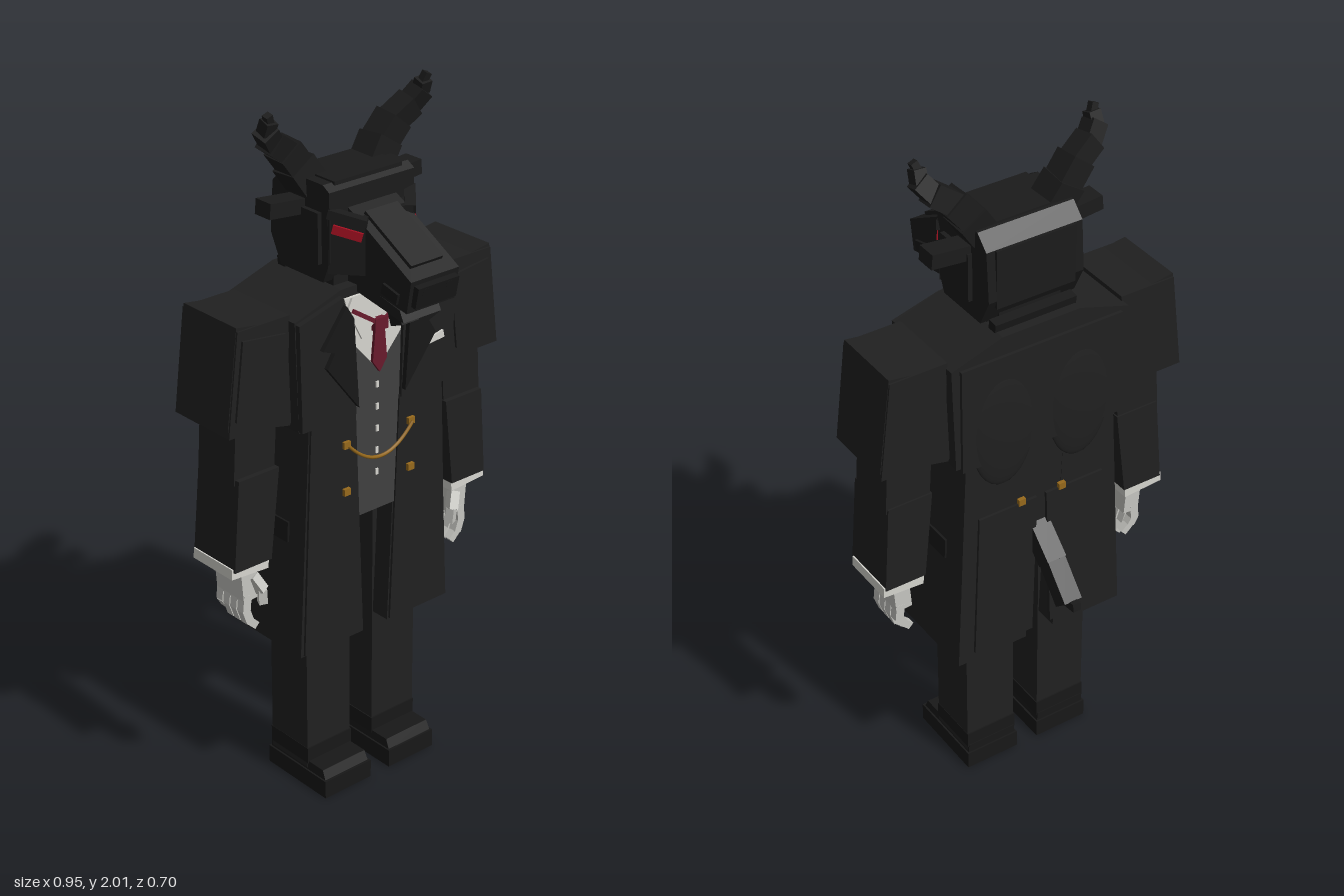
import * as THREE from 'three';

const mat = (name, color) => {
  const m = new THREE.MeshStandardMaterial({ color });
  m.name = name;
  return m;
};

export function createModel() {
  const root = new THREE.Group();
  root.name = 'hornedGentleman';
  const coat = mat('coat black', 0x202020), hide = mat('hide black', 0x1b1b1b), trim = mat('lapel black', 0x181818);
  const vest = mat('waistcoat grey', 0x404040), shirt = mat('shirt white', 0xd6d5cf), bone = mat('glove grey', 0xc6c6c1);
  const tie = mat('tie burgundy', 0x681a2c), red = mat('eye red', 0xa00f20), gold = mat('gold', 0x96691c);

  const add = (name, geo, m) => {
    const mesh = new THREE.Mesh(geo, m);
    mesh.name = name;
    root.add(mesh);
    return mesh;
  };
  // box by size, centre and rotation; s mirrors it across x
  const box = (name, m, [w, h, d], [x, y, z], [rx, ry, rz] = [0, 0, 0], s = 1) => {
    const b = add(name, new THREE.BoxGeometry(w, h, d), m);
    b.position.set(x * s, y, z);
    b.rotation.set(rx, ry * s, rz * s);
    return b;
  };
  // tapered block: bottom and top rectangles are [x0, x1, z0, z1]
  const taper = (name, m, y0, bottom, y1, top, s = 1) => {
    const geo = new THREE.BoxGeometry(1, 1, 1).toNonIndexed();
    const p = geo.attributes.position;
    for (let i = 0; i < p.count; i++) {
      const up = p.getY(i) > 0, r = up ? top : bottom;
      const hi = (p.getX(i) > 0) === (s > 0);
      p.setXYZ(i, s * (hi ? r[1] : r[0]), up ? y1 : y0, p.getZ(i) > 0 ? r[3] : r[2]);
    }
    geo.computeVertexNormals();
    return add(name, geo, m);
  };
  // flat outline in x, y pushed out along z
  const slab = (name, m, pts, z, depth, s = 1) => {
    const shape = new THREE.Shape(pts.map(([x, y]) => new THREE.Vector2(x * s, y)));
    const geo = new THREE.ExtrudeGeometry(shape, { depth, bevelEnabled: false });
    return add(name, geo.translate(0, 0, z), m);
  };
  // side outline in z, y pushed out along x
  const side = (name, m, pts, width, x = 0) => {
    const shape = new THREE.Shape(pts.map(([z, y]) => new THREE.Vector2(z, y)));
    const geo = new THREE.ExtrudeGeometry(shape, { depth: width, bevelEnabled: false });
    return add(name, geo.translate(0, 0, -width / 2).rotateY(-Math.PI / 2).translate(x, 0, 0), m);
  };
  // chain of blocks along points [x, y, z, thickness]
  const chain = (name, m, pts, s = 1) => {
    for (let i = 0; i < pts.length - 1; i++) {
      const a = new THREE.Vector3(pts[i][0] * s, pts[i][1], pts[i][2]);
      const b = new THREE.Vector3(pts[i + 1][0] * s, pts[i + 1][1], pts[i + 1][2]);
      const dir = b.clone().sub(a), t = pts[i][3];
      const link = add(name, new THREE.BoxGeometry(t, dir.length() + t * 0.2, t), m);
      link.position.copy(a).add(b).multiplyScalar(0.5);
      link.quaternion.setFromUnitVectors(new THREE.Vector3(0, 1, 0), dir.normalize());
    }
  };

  // torso and hips
  slab('torso', coat, [[-0.265, 1.16], [0.265, 1.16], [0.275, 1.475], [0.12, 1.525], [-0.12, 1.525], [-0.275, 1.475]], -0.165, 0.275);
  taper('waist', coat, 0.88, [-0.24, 0.24, -0.165, 0.1], 1.17, [-0.235, 0.235, -0.165, 0.1]);
  box('hips', coat, [0.38, 0.14, 0.15], [0, 0.88, -0.02]);
  box('backYoke', coat, [0.5, 0.32, 0.015], [0, 1.31, -0.167]);
  box('collar', trim, [0.25, 0.08, 0.03], [0, 1.51, -0.12], [-0.15, 0, 0]);
  box('neck', hide, [0.19, 0.13, 0.15], [0, 1.51, -0.035]);

  // waistcoat, shirt and tie
  slab('waistcoat', vest, [[-0.075, 0.85], [0.075, 0.85], [0.085, 1.4], [-0.085, 1.4]], 0.08, 0.037);
  slab('shirtFront', shirt, [[-0.115, 1.5], [-0.08, 1.36], [0, 1.27], [0.08, 1.36], [0.115, 1.5]], 0.112, 0.008);
  slab('tieBlade', tie, [[-0.015, 1.405], [-0.025, 1.3], [0, 1.265], [0.025, 1.3], [0.015, 1.405]], 0.12, 0.009);
  box('tieKnot', tie, [0.045, 0.035, 0.022], [0, 1.405, 0.125]);
  for (let i = 0; i < 5; i++) box('waistcoatButton', shirt, [0.009, 0.018, 0.006], [0, 1.225 - i * 0.065, 0.118]);

  // tail
  chain('tail', hide, [[0, 0.86, -0.14, 0.06], [0, 0.78, -0.225, 0.056], [0, 0.69, -0.305, 0.025], [0, 0.695, -0.345, 0.02]]);

  // head and muzzle
  side('cranium', hide, [[0.095, 1.79], [0.07, 1.805], [-0.09, 1.805], [-0.13, 1.765], [-0.14, 1.62], [-0.1, 1.54], [0.07, 1.54], [0.095, 1.6]], 0.29);
  box('crown', hide, [0.23, 0.04, 0.16], [0, 1.79, 0]);
  box('skullBase', hide, [0.23, 0.07, 0.16], [0, 1.53, -0.005]);
  box('backOfHead', hide, [0.24, 0.17, 0.02], [0, 1.68, -0.13]);
  side('muzzle', hide, [[0.08, 1.745], [0.13, 1.72], [0.335, 1.605], [0.32, 1.515], [0.08, 1.56]], 0.165);
  box('nose', trim, [0.14, 0.06, 0.04], [0, 1.563, 0.325], [0.2, 0, 0]);
  box('muzzleRidge', hide, [0.11, 0.012, 0.2], [0, 1.677, 0.215], [0.51, 0, 0]);
  side('lowerJaw', hide, [[0.06, 1.555], [0.275, 1.505], [0.29, 1.475], [0.06, 1.515]], 0.13);
  box('beard', trim, [0.06, 0.055, 0.045], [0, 1.463, 0.215], [-0.35, 0, 0]);

  for (const s of [1, -1]) {
    // face planes, eyes, brows, ears and horns
    box('cheek', hide, [0.1, 0.15, 0.05], [0.094, 1.645, 0.111], [0, 0.855, 0], s);
    box('eye', red, [0.08, 0.024, 0.008], [0.115, 1.685, 0.13], [0, 0.855, 0.25], s);
    box('brow', hide, [0.1, 0.025, 0.03], [0.108, 1.722, 0.12], [0, 0.855, 0.25], s);
    box('templePlate', hide, [0.02, 0.14, 0.13], [0.148, 1.66, 0.0], [0, 0, 0], s);
    box('lip', trim, [0.008, 0.03, 0.06], [0.089, 1.555, 0.265], [0.25, 0, 0], s);
    box('nostril', trim, [0.025, 0.018, 0.006], [0.04, 1.575, 0.345], [0.2, 0, 0], s);
    box('ear', hide, [0.12, 0.042, 0.06], [0.2, 1.735, -0.03], [0, 0, 0.1], s);
    chain('horn', hide, [[0.105, 1.77, -0.035, 0.085], [0.145, 1.83, -0.04, 0.075], [0.185, 1.88, -0.035, 0.062],
      [0.235, 1.915, -0.025, 0.05], [0.262, 1.95, -0.01, 0.035], [0.26, 1.978, 0, 0.02], [0.268, 1.998, 0.005, 0.012]], s);

    // coat front, lapels and shirt collar
    slab('coatFront', coat, [[0.08, 1.165], [0.265, 1.165], [0.272, 1.47], [0.125, 1.51], [0.085, 1.38]], 0.1, 0.026, s);
    slab('lapel', trim, [[0.082, 1.19], [0.19, 1.33], [0.165, 1.37], [0.205, 1.385], [0.125, 1.49], [0.1, 1.45]], 0.122, 0.018, s);
    slab('shirtCollar', shirt, [[0.01, 1.42], [0.06, 1.375], [0.11, 1.47], [0.095, 1.5]], 0.119, 0.008, s);
    chain('tieBand', tie, [[0.01, 1.41, 0.128, 0.012], [0.095, 1.465, 0.128, 0.012]], s);

    // coat skirt with front opening and back vent
    taper('coatSkirt', coat, 0.48, [0.045, 0.27, -0.17, 0.115], 1.17, [0.075, 0.235, -0.165, 0.115], s);
    taper('skirtFrontEdge', coat, 0.485, [0.05, 0.26, 0.1, 0.122], 1.17, [0.078, 0.232, 0.1, 0.122], s);
    taper('backTail', coat, 0.51, [0.03, 0.22, -0.178, -0.165], 0.97, [0.015, 0.2, -0.174, -0.16], s);
    box('pocketFlap', trim, [0.008, 0.06, 0.14], [0.254, 0.84, -0.02], [0, 0, 0.05], s);
    const blade = add('shoulderBladePanel', new THREE.SphereGeometry(1, 24, 16), coat);
    blade.scale.set(0.1, 0.18, 0.014);
    blade.position.set(0.12 * s, 1.24, -0.168);

    // gold buttons, front and back
    for (const y of [1.085, 0.945]) box('coatButton', gold, [0.022, 0.02, 0.012], [0.115, y, 0.126], [0, 0, 0], s);
    box('backButton', gold, [0.022, 0.02, 0.012], [0.065, 0.975, -0.172], [0, 0, 0], s);

    // sleeves
    taper('upperSleeve', coat, 1.2, [0.285, 0.475, -0.14, 0.085], 1.49, [0.27, 0.44, -0.14, 0.085], s);
    slab('sleeveCap', coat, [[0.12, 1.525], [0.27, 1.475], [0.44, 1.5], [0.475, 1.22], [0.27, 1.175]], -0.135, 0.215, s);
    box('sleevePanel', coat, [0.14, 0.22, 0.012], [0.372, 1.345, 0.086], [0, 0, 0.12], s);
    box('elbow', coat, [0.135, 0.16, 0.15], [0.368, 1.12, -0.02], [0, 0, 0.06], s);
    taper('forearm', coat, 0.795, [0.33, 0.455, -0.105, 0.07], 1.06, [0.3, 0.435, -0.1, 0.07], s);
    box('cuff', shirt, [0.125, 0.03, 0.165], [0.397, 0.785, -0.02], [0, 0, 0.06], s);

    // hand with curled fingers
    box('palm', bone, [0.05, 0.1, 0.115], [0.385, 0.725, -0.015], [0, 0, -0.08], s);
    for (let i = 0; i < 4; i++) {
      const z = 0.03 - i * 0.03, d = i === 3 ? 0.015 : 0;
      chain('finger', bone, [[0.392, 0.69, z, 0.026], [0.397, 0.645, z, 0.025], [0.385, 0.61 + d, z, 0.022], [0.362, 0.588 + d, z, 0]], s);
    }
    chain('thumb', bone, [[0.37, 0.74, 0.035, 0.028], [0.35, 0.7, 0.05, 0.024], [0.347, 0.66, 0.048, 0]], s);

    // trousers and shoes
    box('trouserLeg', coat, [0.158, 0.83, 0.155], [0.121, 0.475, -0.022], [0, 0, 0], s);
    box('shoe', trim, [0.17, 0.055, 0.25], [0.12, 0.0275, 0.015], [0, 0, 0], s);
    taper('shoeUpper', trim, 0.05, [0.04, 0.2, -0.105, 0.135], 0.082, [0.042, 0.198, -0.105, 0.12], s);
    box('ankle', trim, [0.162, 0.05, 0.162], [0.12, 0.1, -0.022], [0, 0, 0], s);
  }

  // watch chain and pocket square
  const curve = new THREE.QuadraticBezierCurve3(
    new THREE.Vector3(-0.115, 1.085, 0.135), new THREE.Vector3(0, 0.955, 0.14), new THREE.Vector3(0.115, 1.085, 0.135));
  add('watchChain', new THREE.TubeGeometry(curve, 24, 0.005, 6), gold);
  slab('pocketSquare', shirt, [[0.175, 1.295], [0.23, 1.3], [0.225, 1.322], [0.19, 1.314]], 0.124, 0.008);
  return root;
}
